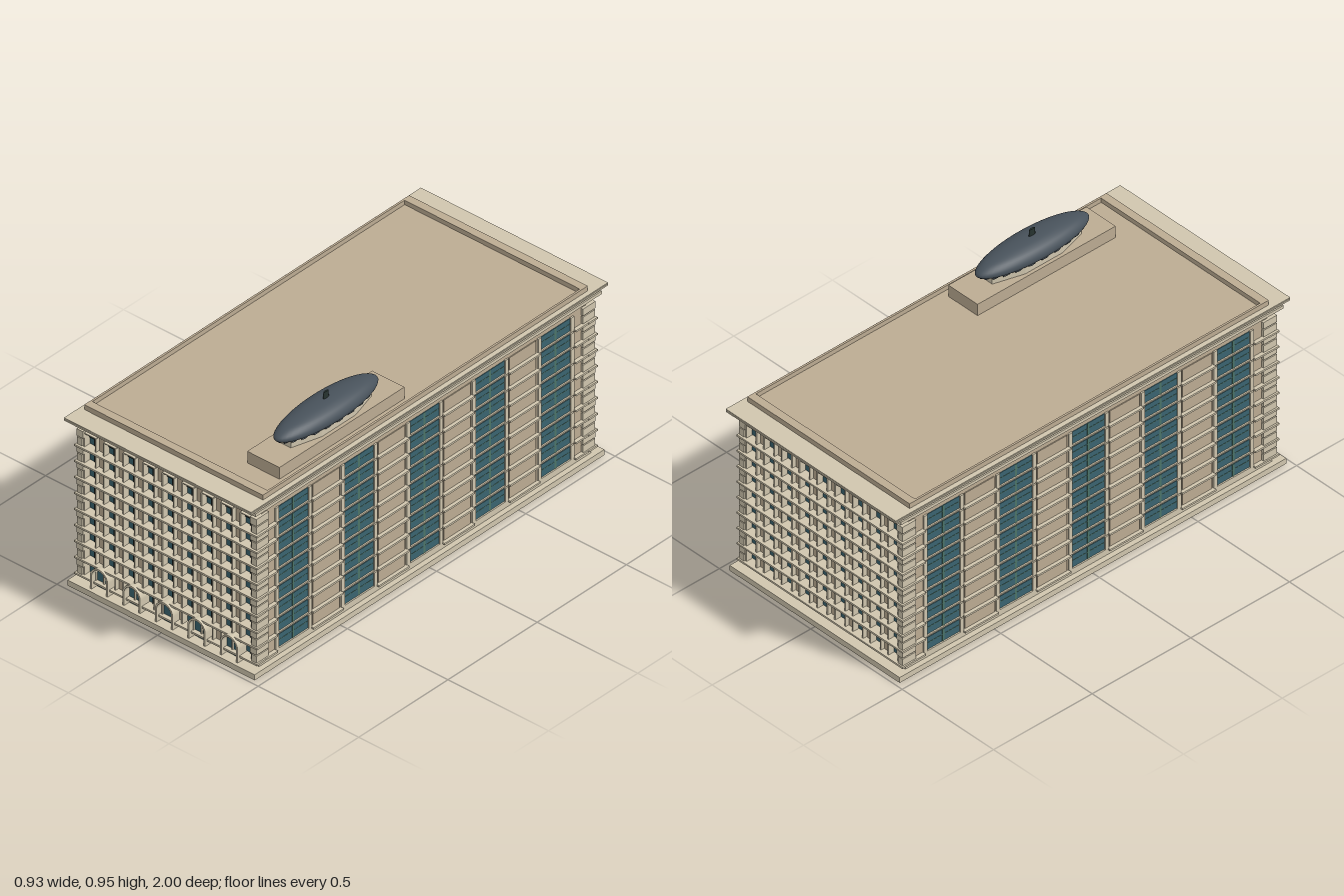
import * as THREE from 'three';
import { mergeGeometries } from 'three/addons/utils/BufferGeometryUtils.js';

const WALL = 0xbcac93, TRIM = 0xd0c6ae, GLASS = 0x3a6470, BAR = 0x26322f, SLATE = 0x48525b;
const FLOORS = 9, FLOOR_H = 0.0725, FIRST = 0.083, WIN_H = 0.056;

export function createModel() {
  const model = new THREE.Group();
  model.name = 'building';
  const batches = new Map();

  const addMesh = (name, geometry, color, flatShading = false) => {
    const material = new THREE.MeshStandardMaterial({ color, flatShading });
    const mesh = new THREE.Mesh(geometry, material);
    mesh.name = name;
    model.add(mesh);
    return mesh;
  };
  // Collect a box, given by its centre and size, into a named part
  const box = (name, color, x, y, z, w, h, d) => {
    if (!batches.has(name)) batches.set(name, { color, list: [] });
    batches.get(name).list.push(new THREE.BoxGeometry(w, h, d).translate(x, y, z));
  };

  // Main masses
  box('plinth', TRIM, 0, 0.0125, 0, 0.93, 0.025, 1.96);
  box('body', WALL, 0, 0.395, 0, 0.872, 0.74, 1.82);
  box('baseCourse', TRIM, 0, 0.036, 0, 0.884, 0.022, 1.86);

  const rows = Array.from({ length: FLOORS }, (_, i) => FIRST + i * FLOOR_H);

  // Front and back: a grid of windows with jambs, lintels and floor ledges
  for (const s of [1, -1]) {
    for (const y of rows) {
      const ledge = y - 0.034;
      box('floorLedges', TRIM, 0, ledge, s * 0.93, 0.908, 0.008, 0.05);
      box('floorLedges', TRIM, 0, ledge - 0.006, s * 0.925, 0.895, 0.004, 0.04);
      for (let c = -4; c <= 4; c++) {
        const x = c * 0.097;
        box('windowGlass', GLASS, x, y, s * 0.911, 0.05, WIN_H, 0.006);
        box('windowBars', BAR, x, y, s * 0.914, 0.003, WIN_H, 0.008);
        box('windowBars', BAR, x, y + 0.003, s * 0.914, 0.05, 0.003, 0.008);
        for (const e of [-1, 1]) {
          box('windowJambs', TRIM, x + e * 0.028, y - 0.001, s * 0.925, 0.006, 0.06, 0.035);
        }
        box('windowLintels', TRIM, x, y + 0.03, s * 0.925, 0.058, 0.004, 0.035);
      }
      // Pier panels between the windows
      for (let c = -3.5; c <= 3.5; c++) {
        box('pierPanels', WALL, c * 0.097, y - 0.002, s * 0.917, 0.03, 0.058, 0.018);
      }
    }
    // Dentils under the cornice
    for (let i = -10; i <= 10; i++) {
      box('dentils', TRIM, i * 0.04, 0.729, s * 0.935, 0.012, 0.008, 0.05);
    }
    // Corner quoins, alternately long and short
    for (const e of [-1, 1]) {
      for (let i = 0; i < 18; i++) {
        const k = i % 2 ? 1 : 0.8;
        box('quoins', TRIM, e * (0.447 - 0.016 * k), 0.068 + i * 0.0365, s * 0.915,
          0.032 * k, 0.031, 0.056 + 0.014 * k);
      }
    }
  }

  // Long sides: five columns of wide windows, ledges only between them
  const bays = [-0.735, -0.367, 0, 0.367, 0.735];
  for (const s of [1, -1]) {
    for (const y of rows) {
      for (const z of bays) {
        box('windowGlass', GLASS, s * 0.437, y, z, 0.003, WIN_H, 0.165);
        box('sideWindowBars', 0x4c7468, s * 0.438, y, z, 0.003, WIN_H, 0.01);
        box('sideWindowBars', 0x4c7468, s * 0.438, y + 0.003, z, 0.003, 0.003, 0.165);
        box('sideSills', TRIM, s * 0.439, y - 0.033, z, 0.008, 0.006, 0.2);
        for (const e of [-1, 1]) {
          box('windowJambs', TRIM, s * 0.439, y, z + e * 0.092, 0.008, 0.06, 0.018);
        }
      }
      for (let i = 0; i < 4; i++) {
        const z = (bays[i] + bays[i + 1]) / 2;
        box('sideLedges', TRIM, s * 0.443, y - 0.034, z, 0.02, 0.008, 0.17);
        box('sidePanels', WALL, s * 0.437, y, z, 0.006, 0.056, 0.15);
      }
      for (const e of [-1, 1]) {
        box('sideLedges', TRIM, s * 0.443, y - 0.034, e * 0.893, 0.02, 0.008, 0.115);
      }
    }
  }

  // Stepped cornice and raised roof rim
  box('cornice', TRIM, 0, 0.74, 0, 0.922, 0.014, 1.94);
  box('cornice', TRIM, 0, 0.7525, 0, 0.908, 0.011, 1.92);
  box('cornice', TRIM, 0, 0.7615, 0, 0.93, 0.007, 2);
  box('cornice', TRIM, 0, 0.7665, 0, 0.916, 0.003, 1.97);
  box('cornice', TRIM, 0, 0.7695, 0, 0.93, 0.003, 2);
  box('roof', WALL, 0, 0.77, 0, 0.884, 0.006, 1.82);
  for (const s of [1, -1]) {
    box('parapet', WALL, 0, 0.782, s * 0.8925, 0.888, 0.022, 0.035);
    box('parapet', WALL, s * 0.4395, 0.782, 0, 0.009, 0.022, 1.75);
  }
  box('turretBase', WALL, 0.322, 0.798, 0.42, 0.16, 0.056, 0.7);

  for (const [name, { color, list }] of batches) addMesh(name, mergeGeometries(list), color);

  // Arched ground-floor surrounds on the front
  const archShape = (r, spring) => {
    const shape = new THREE.Shape();
    shape.moveTo(-r, 0.025);
    shape.lineTo(r, 0.025);
    shape.lineTo(r, spring);
    shape.absarc(0, spring, r, 0, Math.PI, false);
    shape.lineTo(-r, 0.025);
    return shape;
  };
  const solid = (shape, depth) =>
    new THREE.ExtrudeGeometry(shape, { depth, bevelEnabled: false, curveSegments: 16 });
  for (let i = -2; i <= 2; i++) {
    const surround = archShape(0.044, 0.084);
    surround.holes.push(archShape(0.036, 0.084));
    const frame = addMesh('archSurround', solid(surround, 0.055), TRIM);
    frame.position.set(i * 0.1615, 0, 0.91);
    const pane = addMesh('archGlass', solid(archShape(0.037, 0.084), 0.02), GLASS);
    pane.position.set(i * 0.1615, 0, 0.915);
  }

  // Roof turret, stretched along z
  const turret = new THREE.Group();
  turret.name = 'turret';
  turret.position.set(0.322, 0, 0.42);
  turret.scale.z = 3.5;
  model.add(turret);
  const drum = addMesh('drum', new THREE.CylinderGeometry(0.07, 0.07, 0.036, 8), TRIM, true);
  drum.rotation.y = Math.PI / 8;
  drum.position.y = 0.842;
  const profile = new THREE.SplineCurve([
    [0.062, 0.856], [0.074, 0.86], [0.08, 0.873], [0.077, 0.889],
    [0.064, 0.907], [0.042, 0.919], [0.02, 0.924], [0, 0.925],
  ].map(([r, y]) => new THREE.Vector2(r, y))).getPoints(28);
  profile[profile.length - 1].x = 0;
  const dome = addMesh('dome', new THREE.LatheGeometry([new THREE.Vector2(0, 0.856), ...profile], 48), SLATE);
  const spire = addMesh('spire', new THREE.CylinderGeometry(0.004, 0.005, 0.032, 8), BAR);
  spire.position.y = 0.938;
  turret.add(drum, dome, spire);

  // Row of beads under the dome
  const beads = [];
  for (let i = 0; i < 24; i++) {
    const a = (i / 24) * Math.PI * 2;
    beads.push(new THREE.SphereGeometry(0.006, 8, 6)
      .translate(0.07 * Math.cos(a), 0.858, 0.07 * Math.sin(a)));
  }
  turret.add(addMesh('domeBeads', mergeGeometries(beads), SLATE));

  return model;
}
